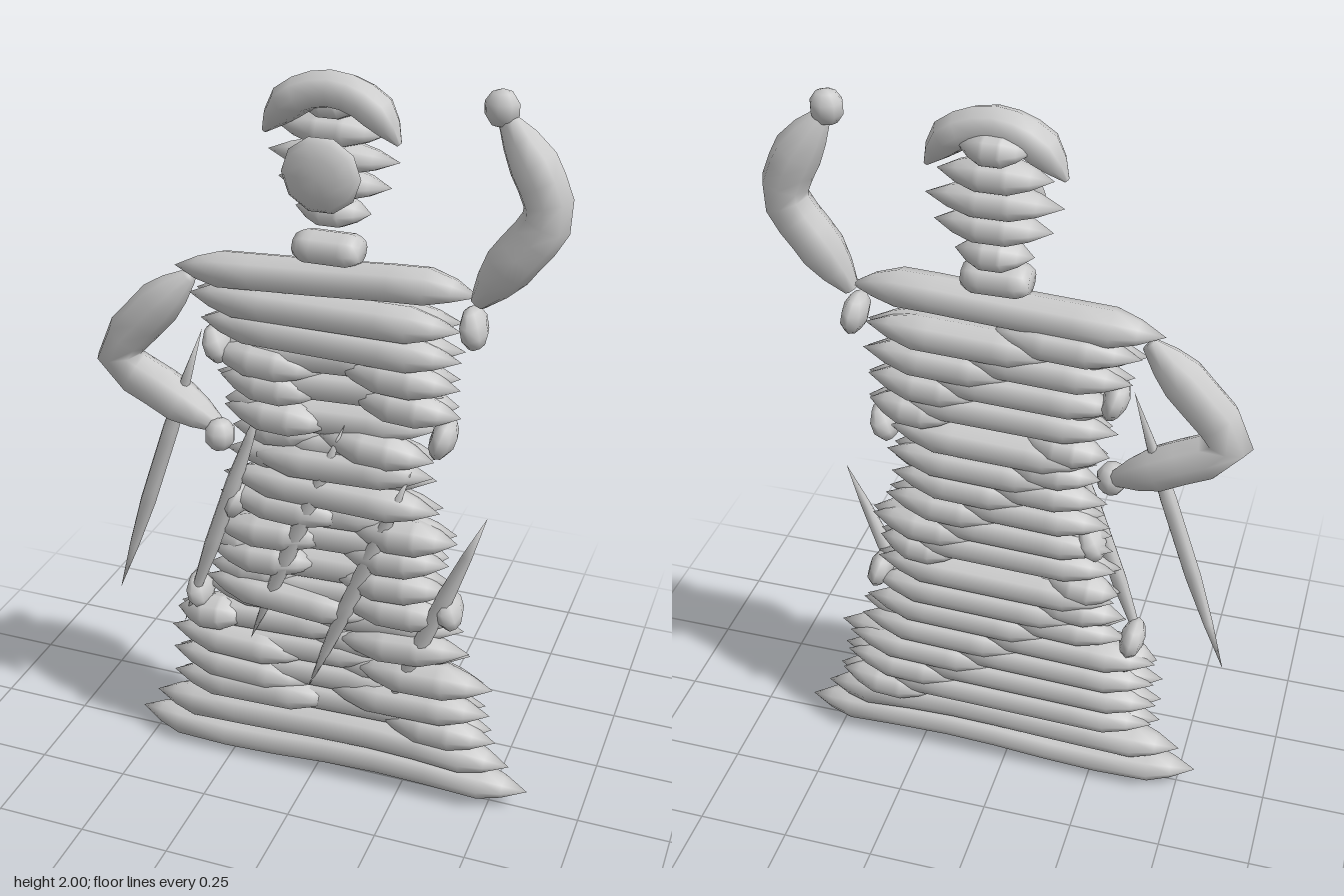
import * as THREE from 'three';
import { mergeVertices } from 'three/addons/utils/BufferGeometryUtils.js';

const grey = new THREE.MeshStandardMaterial({ color: 0xcccccc });
grey.name = 'plain grey';

// Tapered strand along a path of [x, y] points at depth z.
// ry = in-plane radius, rz = depth radius, taper = length of the ends, tip = relative end radius
function strand(name, path, { z = 0, ry = 0.045, rz = 0.055, taper = 0.13, tip = 0 } = {}) {
  const pts = path.map(([x, y]) => new THREE.Vector3(x, y, 0));
  const curve = pts.length > 2 ? new THREE.CatmullRomCurve3(pts) : new THREE.LineCurve3(pts[0], pts[1]);
  const e = Math.min(taper / curve.getLength(), 0.36);
  const rings = [[0, tip], [e * 0.5, 0.62 + 0.38 * tip], [e, 1]];
  for (let i = 1; i < 6; i++) rings.push([e + (1 - 2 * e) * i / 6, 1]);
  rings.push([1 - e, 1], [1 - e * 0.5, 0.62 + 0.38 * tip], [1, tip]);
  const n = rings.length - 1;
  let geo = new THREE.CylinderGeometry(1, 1, 1, 8, n, tip === 0);
  const pos = geo.attributes.position;
  for (let i = 0; i < pos.count; i++) {
    const [t, r] = rings[Math.round((pos.getY(i) + 0.5) * n)];
    const p = curve.getPointAt(t), d = curve.getTangentAt(t);
    const a = pos.getX(i) * ry * r, b = pos.getZ(i) * rz * r;
    pos.setXYZ(i, p.x + d.y * a, p.y - d.x * a, z + b);
  }
  geo.deleteAttribute('uv');
  geo.deleteAttribute('normal');
  geo = mergeVertices(geo, 1e-5);
  geo.computeVertexNormals();
  const mesh = new THREE.Mesh(geo, grey);
  mesh.name = name;
  return mesh;
}

function ball(name, x, y, z, sx, sy, sz) {
  const mesh = new THREE.Mesh(new THREE.SphereGeometry(1, 8, 5), grey);
  mesh.name = name;
  mesh.position.set(x, y, z);
  mesh.scale.set(sx, sy, sz);
  return mesh;
}

export function createModel() {
  const model = new THREE.Group();
  const body = new THREE.Group();
  body.name = 'wrappedBody';
  const head = new THREE.Group();
  head.name = 'head';
  model.add(body, head);

  // Wide hem and shoulder rolls
  body.add(
    strand('hem', [[-0.55, 0.06], [-0.25, 0.05], [0.15, 0.075], [0.605, 0.06]], { ry: 0.046, rz: 0.06 }),
    strand('hemRoll', [[-0.5, 0.13], [-0.2, 0.14], [0.2, 0.155], [0.55, 0.13]], { ry: 0.048, rz: 0.06 }),
    strand('shoulderRoll', [[-0.39, 1.465], [0, 1.485], [0.3, 1.5], [0.405, 1.49]], { ry: 0.047, rz: 0.06 })
  );

  // Back rolls: [y, left end, right end, where the two halves meet]
  const backRows = [
    [0.22, -0.42, 0.49, 0.3], [0.295, -0.43, 0.47, 0.2], [0.37, -0.42, 0.46, 0.1],
    [0.445, -0.42, 0.42, 0.02], [0.52, -0.34, 0.4, -0.06], [0.59, -0.33, 0.38, -0.14],
    [0.665, -0.31, 0.36, -0.2], [0.74, -0.3, 0.35, 0.22], [0.81, -0.29, 0.37, 0.15],
    [0.885, -0.28, 0.33, 0.08], [0.96, -0.27, 0.31, 0], [1.03, -0.25, 0.32, -0.07],
    [1.105, -0.27, 0.31, -0.14], [1.18, -0.29, 0.36, 0.22], [1.255, -0.3, 0.36, 0.14],
    [1.33, -0.32, 0.37, 0.05], [1.405, -0.34, 0.36, -0.05]
  ];
  for (const [y, l, r, m] of backRows) {
    body.add(
      strand('backRollRight', [[l, y], [m + 0.1, y + 0.022]], { z: -0.02, ry: 0.045 }),
      strand('backRollLeft', [[m - 0.1, y - 0.022], [r, y]], { z: -0.028, ry: 0.045 })
    );
  }

  // Front rolls: [left end, right end, left y, right y]
  const frontRolls = [
    [-0.44, 0.06, 0.22, 0.235], [0.17, 0.51, 0.22, 0.205], [-0.44, -0.01, 0.3, 0.275],
    [0.02, 0.49, 0.28, 0.29], [-0.44, -0.02, 0.375, 0.36], [0.1, 0.495, 0.365, 0.375],
    [-0.42, -0.2, 0.44, 0.455], [0.05, 0.425, 0.445, 0.475], [-0.33, 0.16, 0.565, 0.53],
    [0.05, 0.4, 0.57, 0.57], [-0.31, 0.01, 0.655, 0.665], [0.04, 0.37, 0.64, 0.655],
    [-0.31, 0.05, 0.735, 0.75], [0.06, 0.36, 0.72, 0.735], [-0.28, 0.1, 0.84, 0.82],
    [0.09, 0.38, 0.795, 0.805], [-0.26, 0.33, 0.905, 0.885], [-0.2, 0.31, 0.97, 0.985],
    [-0.26, 0.04, 1.1, 1.085], [0.0, 0.31, 1.055, 1.03], [-0.27, 0.01, 1.185, 1.165],
    [0.08, 0.375, 1.185, 1.165], [-0.3, 0.01, 1.25, 1.23], [0.04, 0.37, 1.26, 1.24],
    [-0.32, 0.37, 1.335, 1.315], [-0.35, 0.365, 1.4, 1.395]
  ];
  for (const [l, r, yl, yr] of frontRolls) {
    body.add(strand('frontRoll', [[l, yl], [r, yr]], { z: 0.006, ry: 0.048, rz: 0.057 }));
  }

  // Short folds wrapping round the sides
  for (const [x, y, lean] of [[0.395, 1.41, 0.2], [0.33, 1.1, -0.3], [0.365, 0.6, 0.3],
    [-0.275, 1.27, 0.3], [-0.23, 0.82, -0.4], [-0.35, 0.51, 0.2]]) {
    const fold = ball('sideFold', x, y, 0, 0.034, 0.055, 0.065);
    fold.rotation.z = lean;
    body.add(fold);
  }

  // Thin slanting spikes, half sunk into the rolls
  for (const [x0, y0, x1, y1, z] of [[-0.6, 0.46, -0.32, 1.3, 0], [-0.39, 0.41, -0.14, 1.15, 0.03],
    [-0.19, 0.4, 0.08, 1.11, 0.033], [-0.02, 0.28, 0.26, 1.01, 0.031], [0.19, 0.22, 0.46, 0.91, 0.027]]) {
    model.add(strand('spike', [[x0, y0], [x1, y1]], { z, ry: 0.022, rz: 0.022, taper: 0.32 }));
  }

  // Arms and hands
  const arm = { ry: 0.06, rz: 0.058, taper: 0.12, tip: 0.35 };
  model.add(
    strand('leftArm', [[0.4, 1.475], [0.48, 1.59], [0.557, 1.71], [0.525, 1.81], [0.445, 1.93]], arm),
    ball('leftHand', 0.435, 1.95, 0, 0.043, 0.045, 0.04),
    strand('rightArm', [[-0.35, 1.44], [-0.465, 1.325], [-0.562, 1.19], [-0.44, 1.11], [-0.28, 1.03]], arm),
    ball('rightHand', -0.27, 1.015, 0.02, 0.042, 0.045, 0.045)
  );

  // Neck, stacked head rolls, face and cap
  head.add(strand('neck', [[-0.06, 1.565], [0.11, 1.565]], { ry: 0.042, rz: 0.057, taper: 0.03, tip: 0.65 }));
  for (const [l, r, y] of [[-0.075, 0.12, 1.65], [-0.12, 0.17, 1.72], [-0.145, 0.19, 1.785],
    [-0.12, 0.16, 1.85], [-0.07, 0.11, 1.915]]) {
    head.add(strand('headRoll', [[l, y], [r, y]], { z: -0.035, ry: 0.04, rz: 0.06 }));
  }
  const face = new THREE.Mesh(new THREE.SphereGeometry(1, 10, 6), grey);
  face.name = 'face';
  face.position.set(0.025, 1.765, 0.06);
  face.rotation.x = Math.PI / 2;
  face.scale.set(0.1, 0.035, 0.095);
  head.add(
    face,
    strand('cap', [[-0.14, 1.84], [-0.07, 1.922], [0.03, 1.955], [0.13, 1.922], [0.197, 1.84]],
      { ry: 0.045, rz: 0.054, taper: 0.09, tip: 0.15 })
  );
  return model;
}
